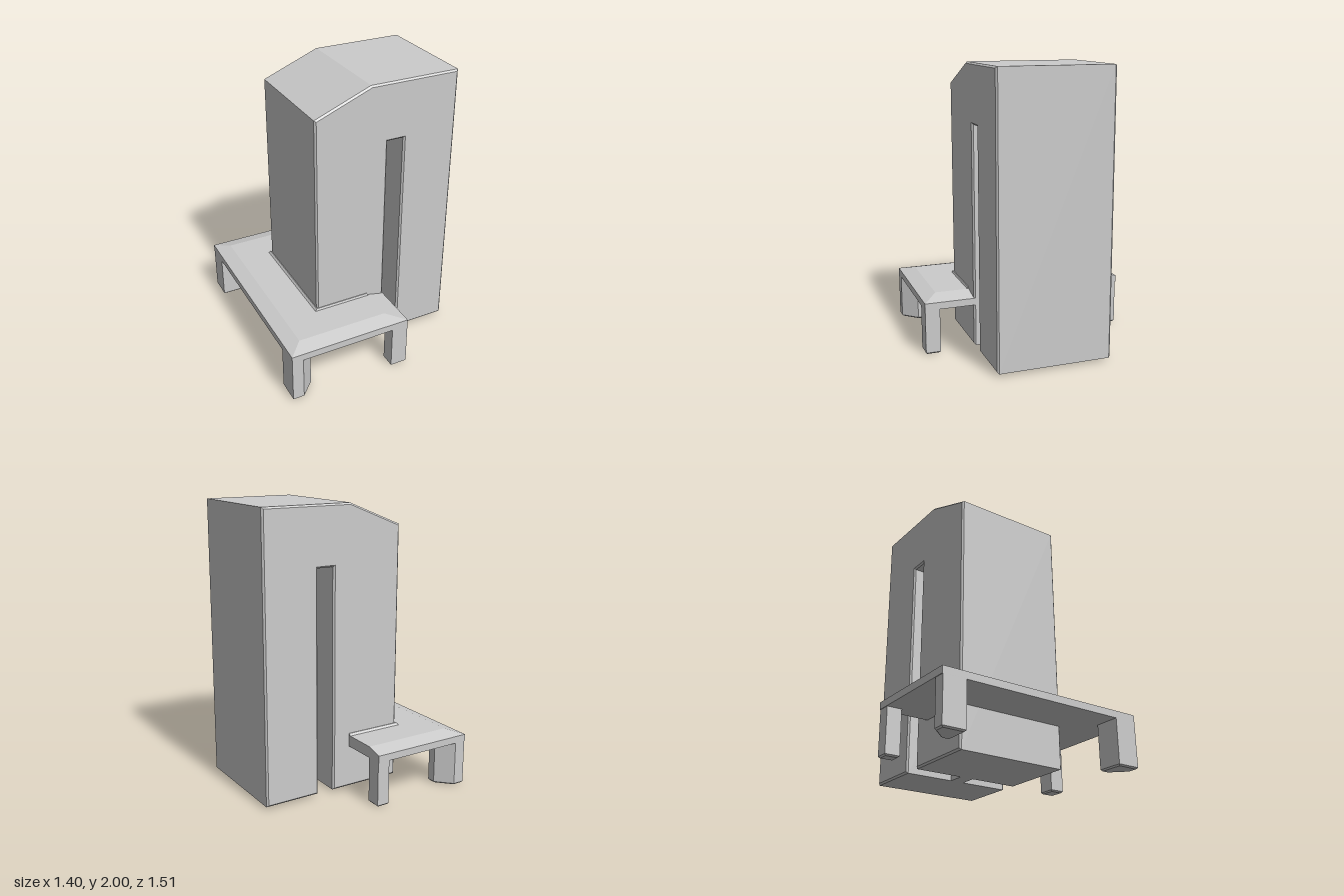
import * as THREE from 'three';

const material = new THREE.MeshStandardMaterial({ color: 0xcccccc, flatShading: true });

function add(group, name, geometry) {
  const mesh = new THREE.Mesh(geometry, material);
  mesh.name = name;
  group.add(mesh);
  return mesh;
}

// Prism with small chamfers that stays inside its outline
function prism(points, length, bevel) {
  const shape = new THREE.Shape(points.map(([a, b]) => new THREE.Vector2(a, b)));
  const geometry = new THREE.ExtrudeGeometry(shape, {
    depth: length - 2 * bevel, bevelEnabled: true, bevelSegments: 1,
    bevelSize: bevel, bevelThickness: bevel, bevelOffset: -bevel,
  });
  return geometry.translate(0, 0, bevel);
}

// Upright prism from a plan outline of [x, z] points
function post(points, bottom, top) {
  return prism(points, top - bottom, 0.01).rotateX(Math.PI / 2).translate(0, top, 0);
}

// Block whose top rectangle differs from its bottom; rectangles are [x0, x1, z0, z1]
function taperedBlock(low, high, y0, y1) {
  const geometry = new THREE.BoxGeometry(1, 1, 1);
  const p = geometry.attributes.position;
  for (let i = 0; i < p.count; i++) {
    const r = p.getY(i) > 0 ? high : low;
    p.setXYZ(i, p.getX(i) > 0 ? r[1] : r[0], p.getY(i) > 0 ? y1 : y0, p.getZ(i) > 0 ? r[3] : r[2]);
  }
  geometry.computeVertexNormals();
  return geometry;
}

export function createModel() {
  const model = new THREE.Group();
  model.name = 'towerWithPlatform';

  // Tower with a sloped roof and a tall slot open at the bottom
  const outline = [
    [-0.35, 0.02], [0.18, 0.02], [0.18, 1.59], [0.30, 1.59], [0.30, 0.02],
    [0.70, 0.02], [0.70, 2.0], [0.05, 2.0], [-0.35, 1.84],
  ];
  add(model, 'tower', prism(outline, 0.81, 0.012).translate(0, 0, -0.405));

  // Recessed wall closing the middle of the slot
  add(model, 'slotWall', new THREE.BoxGeometry(0.14, 1.58, 0.1).translate(0.24, 0.81, 0));

  // Platform around the tower: square rim below, sloped edges above
  const halves = [
    ['frontPlatform', [-0.7, 0.18, 0, 0.755], [-0.6, 0.05, 0, 0.65]],
    ['backPlatform', [-0.7, 0.05, -0.76, 0], [-0.6, 0.05, -0.65, 0]],
  ];
  for (const [name, low, high] of halves) {
    add(model, name + 'Rim', taperedBlock(low, low, 0.32, 0.37));
    add(model, name + 'Top', taperedBlock(low, high, 0.37, 0.4));
  }

  // Thin collar where the platform meets the tower
  add(model, 'collar', taperedBlock([-0.375, 0.05, -0.43, 0.42], [-0.355, 0.05, -0.41, 0.41], 0.39, 0.415));

  // Legs: chamfered ones at the outer corners, slim ones at the inner ends
  for (const s of [1, -1]) {
    const side = s > 0 ? 'front' : 'back';
    const corner = [[-0.7, 0.755], [-0.62, 0.755], [-0.52, 0.65], [-0.52, 0.59], [-0.7, 0.59]];
    add(model, side + 'CornerLeg', post(corner.map(([x, z]) => [x, s * z]), 0, 0.35));
    const [x0, x1] = s > 0 ? [0.06, 0.18] : [-0.04, 0.05];
    const slim = [[x0, 0.755], [x1, 0.755], [x1, 0.65], [x0, 0.65]];
    add(model, side + 'SlimLeg', post(slim.map(([x, z]) => [x, s * z]), 0, 0.35));
  }
  return model;
}
